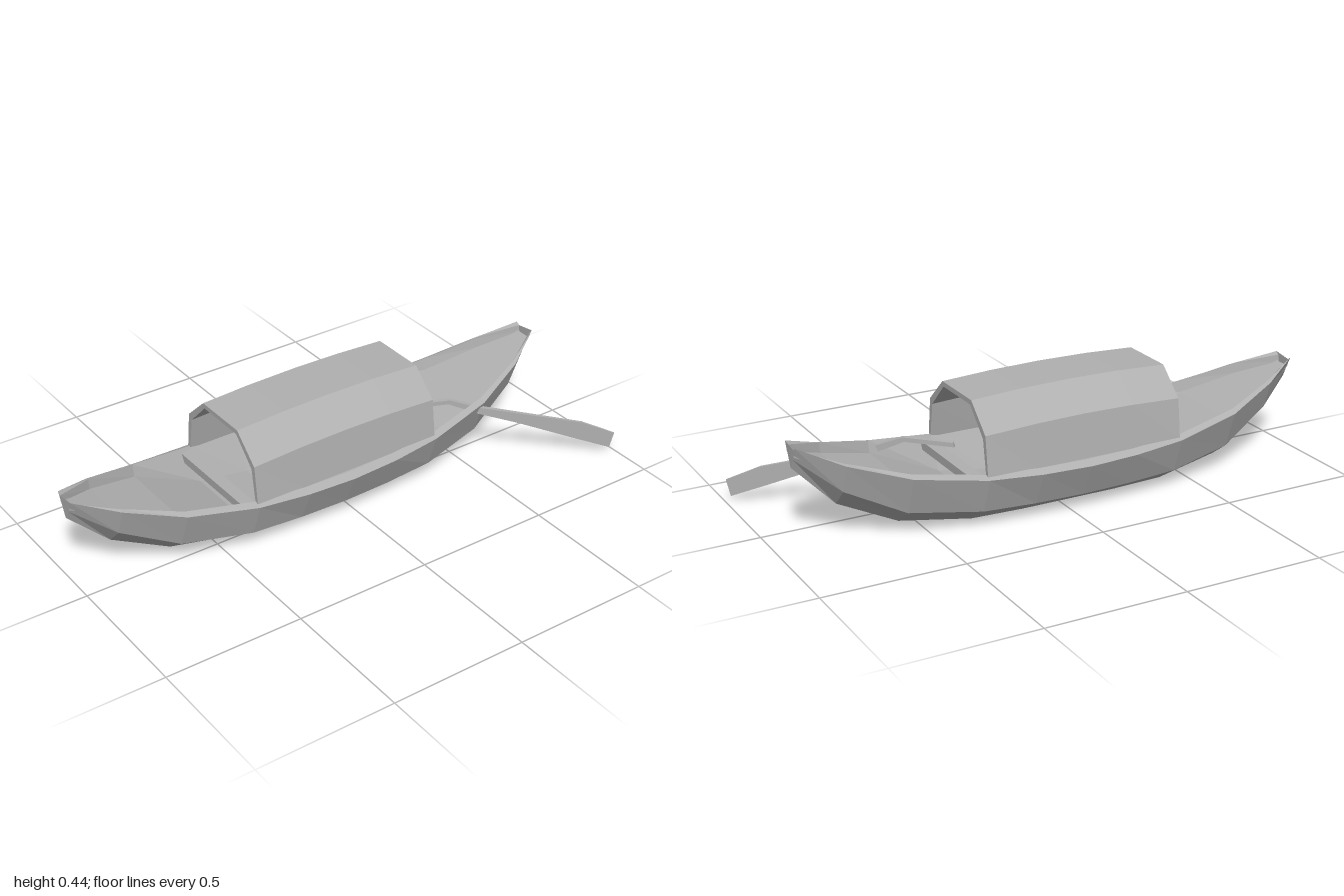
import * as THREE from 'three';

const CZ = -0.1; // centre line of the boat
const grey = new THREE.MeshStandardMaterial({ color: 0xb0b0b0, flatShading: true, side: THREE.DoubleSide });
grey.name = 'plain grey';

// Skin a row of closed rings of [x, y, z] points along +x, with end caps
function loft(name, rings) {
  const pos = [], n = rings[0].length;
  const tri = (a, b, c) => pos.push(...a, ...b, ...c);
  for (let i = 0; i < rings.length - 1; i++) {
    for (let j = 0; j < n; j++) {
      const k = (j + 1) % n, r = rings[i], s = rings[i + 1];
      tri(r[j], r[k], s[k]);
      tri(r[j], s[k], s[j]);
    }
  }
  const cap = (ring, flip) => {
    const outline = ring.map(([, y, z]) => new THREE.Vector2(-z, y));
    for (const [a, b, c] of THREE.ShapeUtils.triangulateShape(outline, [])) {
      if (flip) tri(ring[a], ring[c], ring[b]);
      else tri(ring[a], ring[b], ring[c]);
    }
  };
  cap(rings[0], true);
  cap(rings[rings.length - 1], false);
  const geo = new THREE.BufferGeometry();
  geo.setAttribute('position', new THREE.Float32BufferAttribute(pos, 3));
  geo.computeVertexNormals();
  const mesh = new THREE.Mesh(geo, grey);
  mesh.name = name;
  return mesh;
}

// Hull: distance from midships, then half width and height of
// rim, chine, bottom, inner rim and floor
function hull() {
  const half = [
    [0.00, 0.260, 0.175, 0.205, 0.055, 0.105, 0.000, 0.230, 0.190, 0.15, 0.050],
    [0.18, 0.253, 0.178, 0.200, 0.056, 0.105, 0.000, 0.225, 0.192, 0.15, 0.055],
    [0.37, 0.235, 0.188, 0.190, 0.062, 0.100, 0.003, 0.210, 0.200, 0.15, 0.085],
    [0.62, 0.190, 0.225, 0.140, 0.090, 0.060, 0.032, 0.170, 0.237, 0.16, 0.195],
    [0.82, 0.120, 0.285, 0.085, 0.185, 0.020, 0.120, 0.105, 0.290, 0.10, 0.255],
    [0.96, 0.042, 0.345, 0.020, 0.300, 0.004, 0.265, 0.030, 0.335, 0.028, 0.310],
  ];
  const ring = (s, side) => {
    const x = -0.04 + side * s[0];
    const drop = side < 0 && s[0] > 0.9 ? 0.012 : 0; // one end is a little lower
    const p = (k, dir) => [x, s[k + 1] - drop, CZ + dir * s[k]];
    return [p(1, 1), p(3, 1), p(5, 1), p(5, -1), p(3, -1), p(1, -1),
      p(7, -1), p(9, -1), p(9, 1), p(7, 1)];
  };
  const back = half.slice(1).reverse().map((s) => ring(s, -1));
  return loft('hull', [...back, ...half.map((s) => ring(s, 1))]);
}

// Canopy: faceted arch whose roof bows up slightly at the middle
function canopy() {
  const outer = [[0.222, 0.19], [0.205, 0.332], [0.106, 0.424]];
  const inner = [[0.208, 0.19], [0.188, 0.316], [0.098, 0.407]];
  const arch = (pts) => [...pts.map(([w, y]) => [-w, y]), ...pts.slice().reverse()];
  const profile = [...arch(outer), ...arch(inner).reverse()];
  const rings = [];
  for (let i = 0; i <= 4; i++) {
    const u = i / 2 - 1;
    const lift = 0.012 * (1 - u * u);
    rings.push(profile.map(([w, y]) => [-0.04 + 0.37 * u, y + (y > 0.2 ? lift : 0), CZ + w]));
  }
  return loft('canopy', rings);
}

// Oar: cranked handle widening into a thin upright blade
function oar() {
  const stations = [ // x, y, half height, half thickness
    [0.325, 0.220, 0.008, 0.008],
    [0.47, 0.237, 0.008, 0.008],
    [0.56, 0.198, 0.012, 0.008],
    [0.69, 0.158, 0.019, 0.007],
    [0.88, 0.095, 0.034, 0.005],
    [0.985, 0.048, 0.030, 0.003],
  ];
  const corners = [[1, 1], [1, -1], [-1, -1], [-1, 1]];
  return loft('oar', stations.map(([x, y, h, t]) => corners.map(([a, b]) => [
    x - 0.52 * t * a + 0.2 * h * b,
    y + h * b,
    -0.065 + 0.61 * (x - 0.325) + 0.85 * t * a + 0.12 * h * b,
  ])));
}

export function createModel() {
  const group = new THREE.Group();
  group.name = 'coveredBoat';
  group.add(hull(), canopy(), oar());
  // Cross beams at both ends of the canopy
  for (const x of [-0.43, 0.353]) {
    const beam = new THREE.Mesh(new THREE.BoxGeometry(0.045, 0.03, 0.42), grey);
    beam.name = 'crossBeam';
    beam.position.set(x, 0.175, CZ);
    group.add(beam);
  }
  return group;
}
